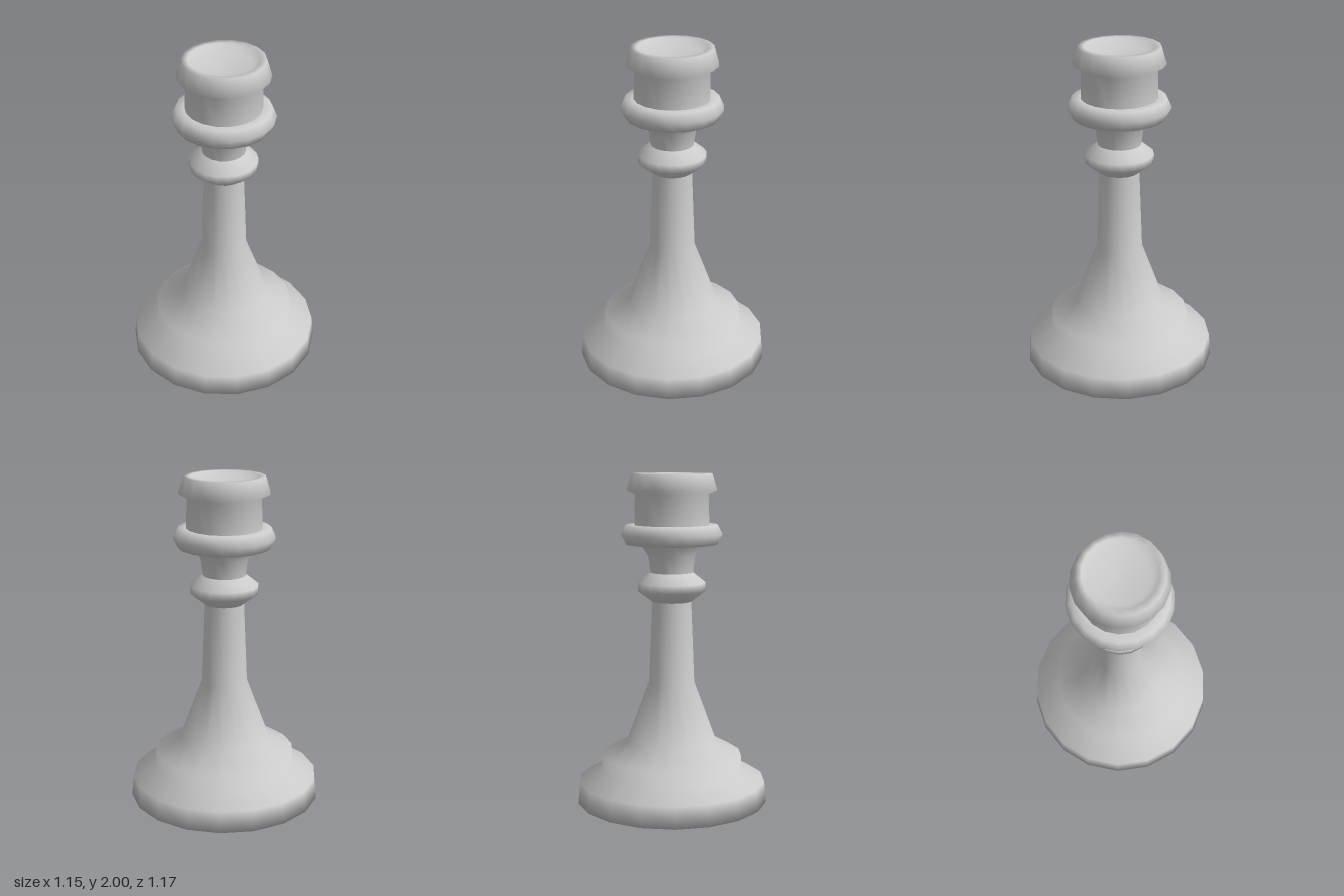
import * as THREE from 'three';

const SIDES = 18;
const material = new THREE.MeshStandardMaterial({ color: 0xcccccc, side: THREE.DoubleSide });

// Turns a [radius, height] profile, listed from bottom to top, about the y axis
function turned(name, profile) {
  const points = profile.map(([r, y]) => new THREE.Vector2(r, y));
  const mesh = new THREE.Mesh(new THREE.LatheGeometry(points, SIDES), material);
  mesh.name = name;
  return mesh;
}

export function createModel() {
  const group = new THREE.Group();
  group.name = 'chessPiece';

  group.add(
    // Stepped foot with closed underside, flaring up into the slender stem
    turned('baseAndStem', [
      [0, 0], [0.585, 0], [0.573, 0.13], [0.435, 0.2], [0.428, 0.29],
      [0.275, 0.375], [0.14, 0.74], [0.12, 1.235],
    ]),
    // Bulging ring round the stem
    turned('stemRing', [
      [0.12, 1.235], [0.205, 1.3], [0.205, 1.35], [0.13, 1.41],
    ]),
    // Neck widening under the collar
    turned('neck', [
      [0.13, 1.41], [0.143, 1.51], [0.19, 1.58],
    ]),
    // Wide collar under the head
    turned('collar', [
      [0.19, 1.58], [0.275, 1.58], [0.305, 1.64], [0.278, 1.695], [0.226, 1.695],
    ]),
    // Drum with an overhanging rim and a shallow dished top
    turned('head', [
      [0.226, 1.695], [0.222, 1.875], [0.272, 1.9], [0.242, 2],
      [0.205, 2], [0.17, 1.962], [0, 1.955],
    ]),
  );
  return group;
}
